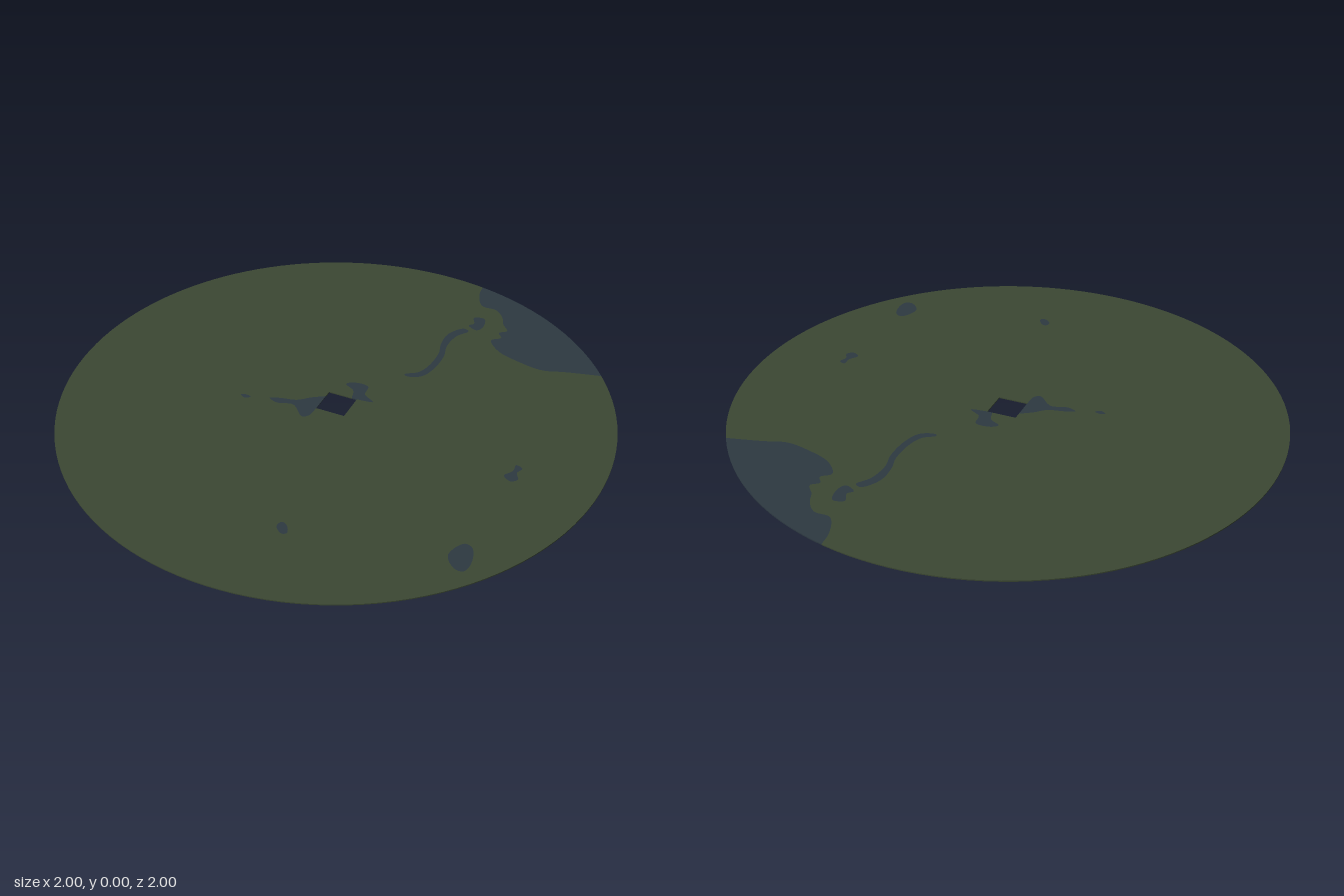
import * as THREE from 'three';

const THICK = 0.004;

// Smooth line through [x, z] pairs, returned as shape points (y = -z)
function smooth(pairs, closed) {
  const pts = pairs.map(([x, z]) => new THREE.Vector3(x, -z, 0));
  const curve = new THREE.CatmullRomCurve3(pts, closed, 'centripetal');
  const out = curve.getPoints(pairs.length * 4).map((p) => new THREE.Vector2(p.x, p.y));
  if (closed) out.pop();
  return out;
}

// Points along the round rim between two angles, ends left out
function rim(from, to) {
  const n = Math.max(2, Math.round((to - from) / (Math.PI / 64)));
  const out = [];
  for (let i = 1; i < n; i++) {
    const a = from + ((to - from) * i) / n;
    out.push(new THREE.Vector2(Math.cos(a), Math.sin(a)));
  }
  return out;
}

function slab(name, shape, material) {
  const geo = new THREE.ExtrudeGeometry(shape, { depth: THICK, bevelEnabled: false });
  geo.rotateX(-Math.PI / 2);
  const mesh = new THREE.Mesh(geo, material);
  mesh.name = name;
  return mesh;
}

export function createModel() {
  const model = new THREE.Group();
  model.name = 'terrainDisc';
  const grass = new THREE.MeshStandardMaterial({ color: 0x3c4833 });
  grass.name = 'grass green';
  const water = new THREE.MeshStandardMaterial({ color: 0x2d3941 });
  water.name = 'water blue';

  // Lake shore, running from the back rim to the side rim
  const lakeStart = 0.617, lakeEnd = 1.367;
  const shore = smooth([
    [Math.cos(lakeEnd), -Math.sin(lakeEnd)], [0.21, -0.92], [0.25, -0.845], [0.31, -0.84],
    [0.35, -0.8], [0.37, -0.755], [0.4, -0.715], [0.375, -0.69], [0.395, -0.66],
    [0.365, -0.63], [0.415, -0.57], [0.51, -0.535], [0.605, -0.52], [0.685, -0.545],
    [Math.cos(lakeStart), -Math.sin(lakeStart)],
  ], false);

  // Enclosed water: river, its upper pool and the scattered ponds
  const ponds = {
    river: [[0.24, -0.66], [0.2, -0.6], [0.2, -0.52], [0.215, -0.46], [0.21, -0.36], [0.19, -0.31],
      [0.15, -0.28], [0.16, -0.27], [0.21, -0.29], [0.235, -0.35], [0.24, -0.45], [0.225, -0.52],
      [0.235, -0.6], [0.265, -0.65]],
    upperPool: [[0.25, -0.75], [0.29, -0.76], [0.305, -0.7], [0.29, -0.67], [0.25, -0.69], [0.265, -0.71]],
    sidePond: [[0.7, 0.05], [0.725, 0.06], [0.715, 0.09], [0.73, 0.12], [0.71, 0.14], [0.68, 0.12], [0.7, 0.085]],
    frontSidePond: [[0.68, 0.49], [0.71, 0.5], [0.73, 0.57], [0.72, 0.61], [0.69, 0.61], [0.65, 0.56]],
    frontPond: [[0.11, 0.645], [0.13, 0.65], [0.15, 0.685], [0.135, 0.695], [0.105, 0.67]],
    puddle: [[-0.34, 0.09], [-0.32, 0.083], [-0.3, 0.09], [-0.32, 0.103]],
  };

  // Water touching the square opening
  const backPool = smooth([[0.055, -0.06], [0.115, -0.07], [0.07, -0.1], [0.06, -0.15],
    [0, -0.15], [-0.02, -0.13], [0.02, -0.105], [0.035, -0.06]], false);
  const rightPool = smooth([[-0.055, -0.03], [-0.1, 0], [-0.14, 0.035], [-0.2, 0.05], [-0.235, 0.065],
    [-0.2, 0.08], [-0.14, 0.065], [-0.08, 0.115], [-0.06, 0.1], [-0.055, 0.05]], false);

  // Ground, cut out wherever there is water
  const ground = new THREE.Shape([...rim(lakeEnd, lakeStart + Math.PI * 2), ...[...shore].reverse()]);
  ground.holes.push(new THREE.Path([
    new THREE.Vector2(0.055, -0.05), ...backPool, new THREE.Vector2(-0.055, 0.06), ...rightPool,
  ]));

  for (const [name, pairs] of Object.entries(ponds)) {
    const outline = smooth(pairs, true);
    ground.holes.push(new THREE.Path(outline));
    model.add(slab(name, new THREE.Shape(outline), water));
  }
  model.add(slab('ground', ground, grass));
  model.add(slab('lake', new THREE.Shape([...shore, ...rim(lakeStart, lakeEnd)]), water));
  model.add(slab('backPool', new THREE.Shape(backPool), water));
  model.add(slab('rightPool', new THREE.Shape(rightPool), water));
  return model;
}
